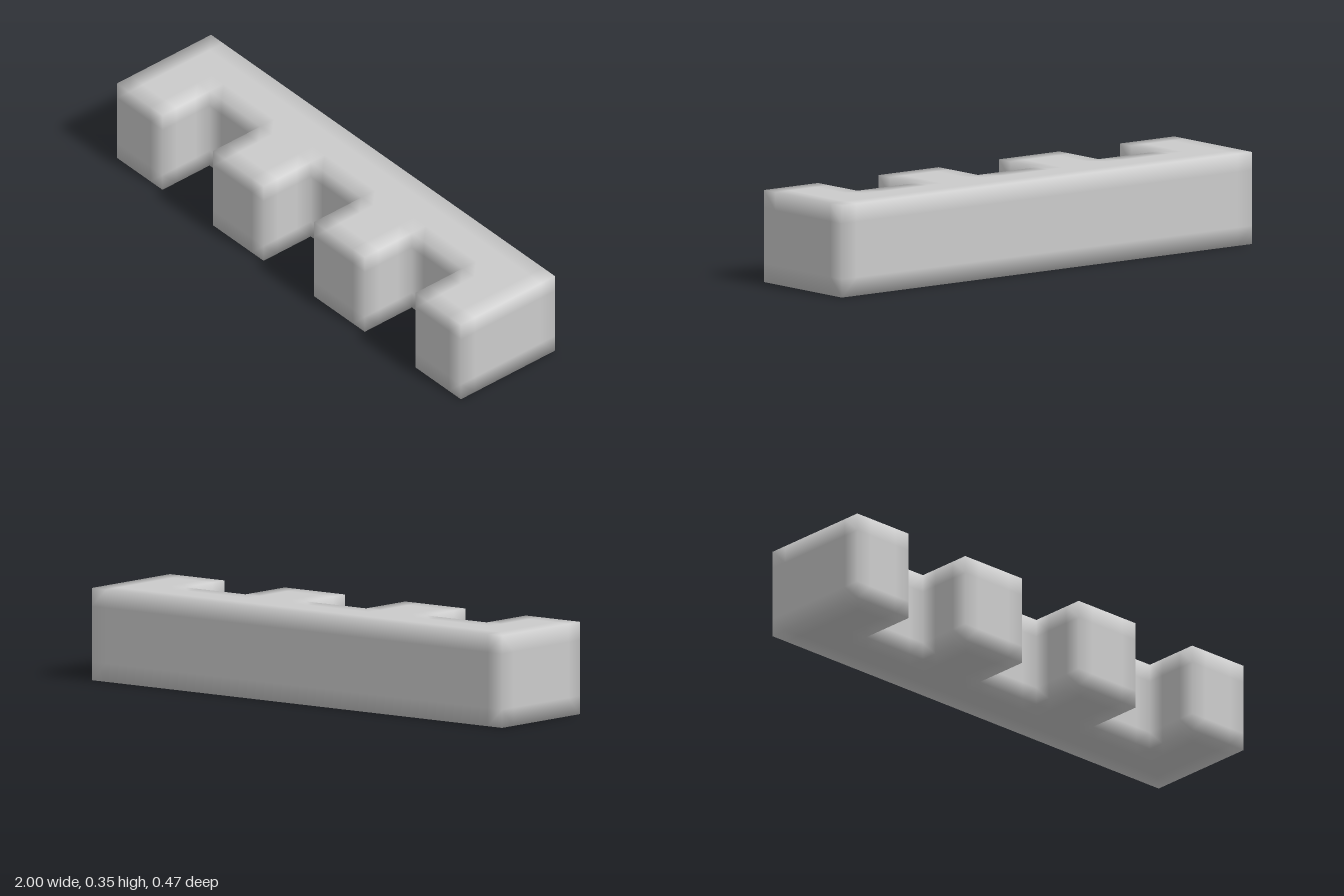
import * as THREE from 'three';
import { mergeVertices } from 'three/addons/utils/BufferGeometryUtils.js';

const HEIGHT = 0.353, DEPTH = 0.47, BAND = 0.07;

// Grid lines: every edge plus a line a little way in on both sides,
// so the smooth shading stays in a narrow band along the edges.
function gridLines(edges) {
  const lines = [];
  edges.forEach((e, i) => {
    if (i > 0) lines.push(e - BAND);
    lines.push(e);
    if (i < edges.length - 1) lines.push(e + BAND);
  });
  return lines;
}

// Skin of the solid made from all filled grid cells, with welded corners
function skinOfCells(lines, filled) {
  const positions = [];
  const isFilled = (c) =>
    c.every((v, a) => v >= 0 && v < lines[a].length - 1) &&
    filled(...c.map((v, a) => (lines[a][v] + lines[a][v + 1]) / 2));

  const addFaces = (cell) => {
    for (let axis = 0; axis < 3; axis++) {
      const u = (axis + 1) % 3, v = (axis + 2) % 3;
      for (const side of [0, 1]) {
        const next = [...cell];
        next[axis] += side ? 1 : -1;
        if (isFilled(next)) continue;
        const corner = (du, dv) => {
          const p = [];
          p[axis] = lines[axis][cell[axis] + side];
          p[u] = lines[u][cell[u] + du];
          p[v] = lines[v][cell[v] + dv];
          return p;
        };
        const q = [corner(0, 0), corner(1, 0), corner(1, 1), corner(0, 1)];
        if (!side) q.reverse();
        for (const k of [0, 1, 2, 0, 2, 3]) positions.push(...q[k]);
      }
    }
  };

  for (let i = 0; i < lines[0].length - 1; i++)
    for (let j = 0; j < lines[1].length - 1; j++)
      for (let k = 0; k < lines[2].length - 1; k++)
        if (isFilled([i, j, k])) addFaces([i, j, k]);

  const geometry = new THREE.BufferGeometry();
  geometry.setAttribute('position', new THREE.Float32BufferAttribute(positions, 3));
  const welded = mergeVertices(geometry, 1e-4);
  welded.computeVertexNormals();
  return welded;
}

export function createModel() {
  const group = new THREE.Group();
  group.name = 'battlement';

  const lines = [
    gridLines([-1, -0.735, -0.441, -0.147, 0.147, 0.441, 0.735, 1]),
    gridLines([0, HEIGHT]),
    gridLines([-DEPTH / 2, 0, DEPTH / 2]),
  ];
  // Solid bar behind z = 0, four teeth in front of it
  const inTooth = (x) => Math.abs(x) > 0.735 || (Math.abs(x) > 0.147 && Math.abs(x) < 0.441);
  const geometry = skinOfCells(lines, (x, y, z) => z < 0 || inTooth(x));

  const block = new THREE.Mesh(geometry, new THREE.MeshStandardMaterial({ color: 0xcccccc }));
  block.name = 'toothedBlock';
  group.add(block);
  return group;
}
